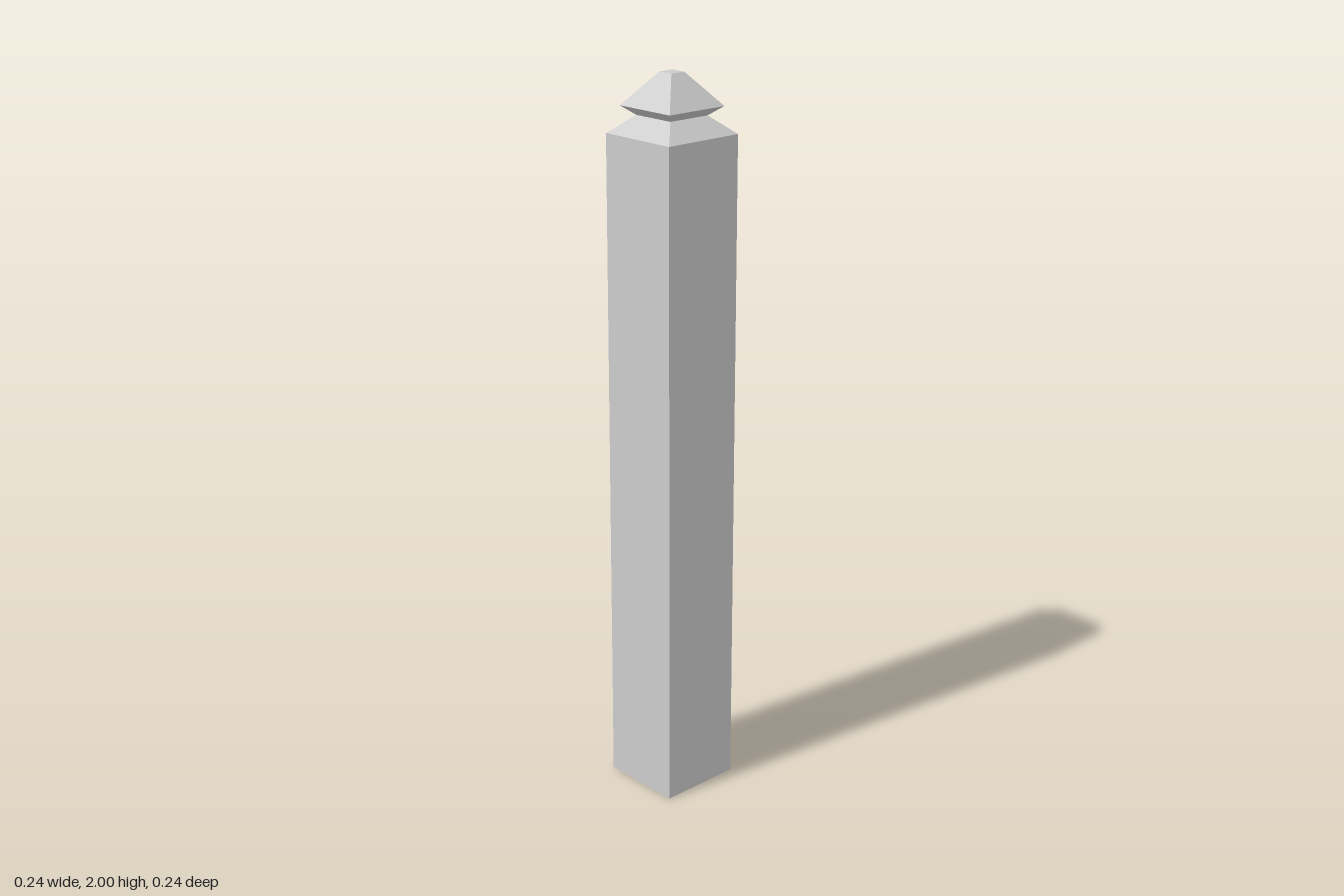
import * as THREE from 'three';

const material = new THREE.MeshStandardMaterial({ color: 0xcccccc, flatShading: true });

// Square frustum between two heights, given the half widths of its ends
function squareFrustum(name, y0, half0, y1, half1, open) {
  const geometry = new THREE.CylinderGeometry(half1 * Math.SQRT2, half0 * Math.SQRT2, y1 - y0, 4, 1, open);
  geometry.rotateY(Math.PI / 4);
  geometry.translate(0, (y0 + y1) / 2, 0);
  const mesh = new THREE.Mesh(geometry, material);
  mesh.name = name;
  return mesh;
}

// Flat square facing up or down
function squareFace(name, y, half, up) {
  const geometry = new THREE.PlaneGeometry(half * 2, half * 2);
  geometry.rotateX(up ? -Math.PI / 2 : Math.PI / 2);
  geometry.translate(0, y, 0);
  const mesh = new THREE.Mesh(geometry, material);
  mesh.name = name;
  return mesh;
}

export function createModel() {
  const post = new THREE.Group();
  post.name = 'fencePost';

  // [height, half width] from the foot to the tip
  const foot = [0, 0.119], shoulder = [1.843, 0.119], neck = [1.89, 0.064];
  const rim = [1.914, 0.094], tip = [2, 0.022];

  post.add(
    squareFace('footFace', ...foot, false),
    squareFrustum('shaft', ...foot, ...shoulder, true),
    squareFrustum('shoulder', ...shoulder, ...neck, true),
    squareFrustum('capUnderside', ...neck, ...rim, true),
    squareFrustum('cap', ...rim, ...tip, true),
    squareFace('tipFace', ...tip, true),
  );
  return post;
}
